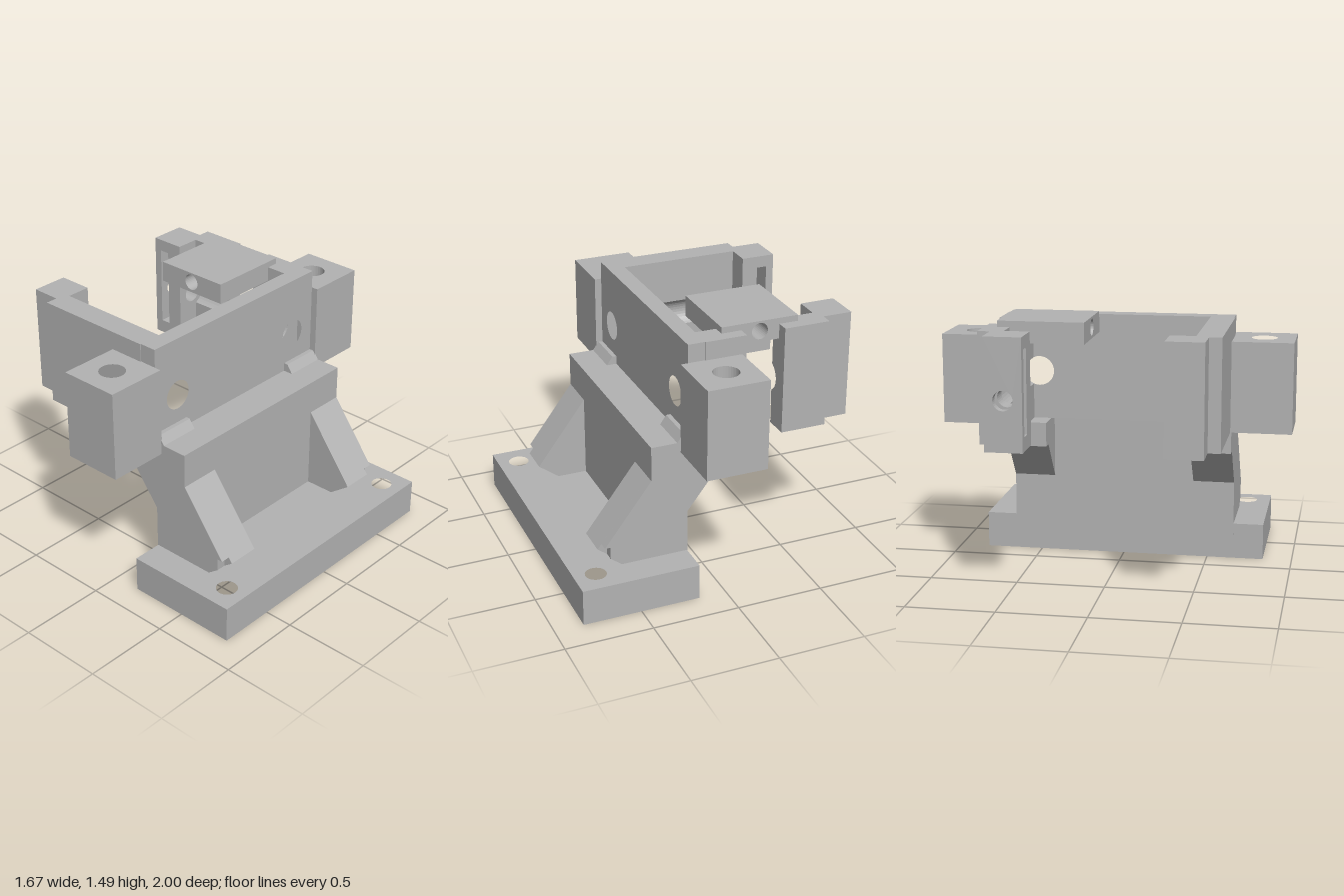
import * as THREE from 'three';

const grey = new THREE.MeshStandardMaterial({ color: 0xb3b3b3 });
grey.name = 'plain grey';

const shapeOf = (pts, holes = []) => {
  const shape = new THREE.Shape(pts.map(([u, v]) => new THREE.Vector2(u, v)));
  for (const [u, v, r] of holes) {
    const path = new THREE.Path();
    path.absarc(u, v, r, 0, Math.PI * 2, true);
    shape.holes.push(path);
  }
  return shape;
};
const rect = (u0, v0, u1, v1) => [[u0, v0], [u1, v0], [u1, v1], [u0, v1]];
const extrude = (pts, holes, depth) =>
  new THREE.ExtrudeGeometry(shapeOf(pts, holes), { depth, bevelEnabled: false, curveSegments: 16 });

// Outline in (x, y), extruded from z0 to z1
const alongZ = (pts, z0, z1, holes) => extrude(pts, holes, z1 - z0).translate(0, 0, z0);
// Outline in (z, y), extruded from x0 to x1
const alongX = (pts, x0, x1, holes = []) =>
  extrude(pts.map(([z, y]) => [-z, y]), holes.map(([z, y, r]) => [-z, y, r]), x1 - x0)
    .rotateY(Math.PI / 2).translate(x0, 0, 0);
// Outline in (x, z), extruded from y0 to y1
const alongY = (pts, y0, y1, holes = []) =>
  extrude(pts.map(([x, z]) => [x, -z]), holes.map(([x, z, r]) => [x, -z, r]), y1 - y0)
    .rotateX(-Math.PI / 2).translate(0, y0, 0);

export function createModel() {
  const model = new THREE.Group();
  model.name = 'mountBracket';
  const add = (name, geometry) => {
    const mesh = new THREE.Mesh(geometry, grey);
    mesh.name = name;
    model.add(mesh);
  };

  const low = 0.83, high = 1.45;          // frame height range
  const rodY = 1.11, rodZ = 0.48;         // rod axis
  const channelR = 0.085, boreR = 0.055;

  // Foot plate with two screw holes
  add('footPlate', alongY(rect(0.16, -0.83, 0.835, 0.83), 0, 0.21,
    [[0.71, 0.69, 0.06], [0.71, -0.69, 0.06]]));

  // Upright web between the ribs
  add('web', alongZ(rect(0.157, 0.14, 0.37, 0.89), -0.415, 0.415));

  // Frame wall with rod openings
  add('frameWall', alongX(rect(-0.65, low, 0.65, high), 0.06, 0.16,
    [[rodZ, rodY, channelR], [-rodZ, rodY, channelR]]));

  // Leaning rib profile; the outer slice is clipped for screw clearance
  const ribBack = [[0.157, 0.14], [0.157, 0.46], [-0.02, 0.69], [-0.08, 0.69],
    [-0.08, low], [0.16, low], [0.16, 0.89], [0.37, 0.89], [0.37, 0.69]];
  const ribInner = [...ribBack, [0.665, 0.3], [0.545, 0.21], [0.545, 0.14]];
  const ribOuter = [...ribBack, [0.642, 0.33], [0.61, 0.33], [0.61, 0.259], [0.545, 0.21], [0.545, 0.14]];
  const wedge = [[0.15, 0.88], [0.15, 0.94], [0.185, 0.94], [0.22, 0.89], [0.22, 0.88]];

  for (const s of [1, -1]) {
    const side = s > 0 ? 'front' : 'back';
    const zSlab = (pts, a, b) => alongZ(pts, Math.min(s * a, s * b), Math.max(s * a, s * b));
    const mirror = (pts) => pts.map(([z, y]) => [s * z, y]);

    add(side + 'Rib', zSlab(ribInner, 0.415, 0.6));
    add(side + 'RibOuter', zSlab(ribOuter, 0.6, 0.655));
    add(side + 'RibWedge', zSlab(wedge, 0.415, 0.655));

    // Side arm with a rounded rod channel on its inner face
    const armSection = [[0.515, low], [0.655, low], [0.655, high], [0.515, high]];
    const reach = Math.acos((0.515 - rodZ) / channelR);
    for (let i = 0; i <= 12; i++) {
      const a = reach * (1 - i / 6);
      armSection.push([rodZ + channelR * Math.cos(a), rodY + channelR * Math.sin(a)]);
    }
    const spans = s > 0 ? [[-0.665, 0.06]] : [[-0.665, -0.4], [-0.175, 0.06]];
    for (const [x0, x1] of spans) add(side + 'Arm', alongX(mirror(armSection), x0, x1));

    // Arm end block: bored outer slices around a nut slot
    const endSection = mirror(rect(0.375, low, 0.585, high));
    const slotSection = mirror([[0.375, low], [0.585, low], [0.585, high], [0.375, high],
      [0.375, 1.38], [0.56, 1.38], [0.56, 0.91], [0.375, 0.91]]);
    const bore = [[s * rodZ, rodY, boreR]];
    add(side + 'EndOuter', alongX(endSection, -0.835, -0.79, bore));
    add(side + 'EndSlot', alongX(slotSection, -0.79, -0.73));
    add(side + 'EndInner', alongX(endSection, -0.73, -0.635, bore));

    // Ear block with a blind hole in its top
    const ear = rect(-0.15, s * 0.65, 0.2, s * 1.0);
    add(side + 'EarLower', alongY(ear, low, 1.05));
    add(side + 'EarUpper', alongY(ear, 1.05, 1.345, [[0.02, s * 0.825, 0.073]]));
  }

  // Cross-bored cap block
  add('cap', alongZ(rect(-0.51, 1.365, -0.06, 1.485), -0.585, -0.105, [[-0.285, 1.427, 0.047]]));

  return model;
}
